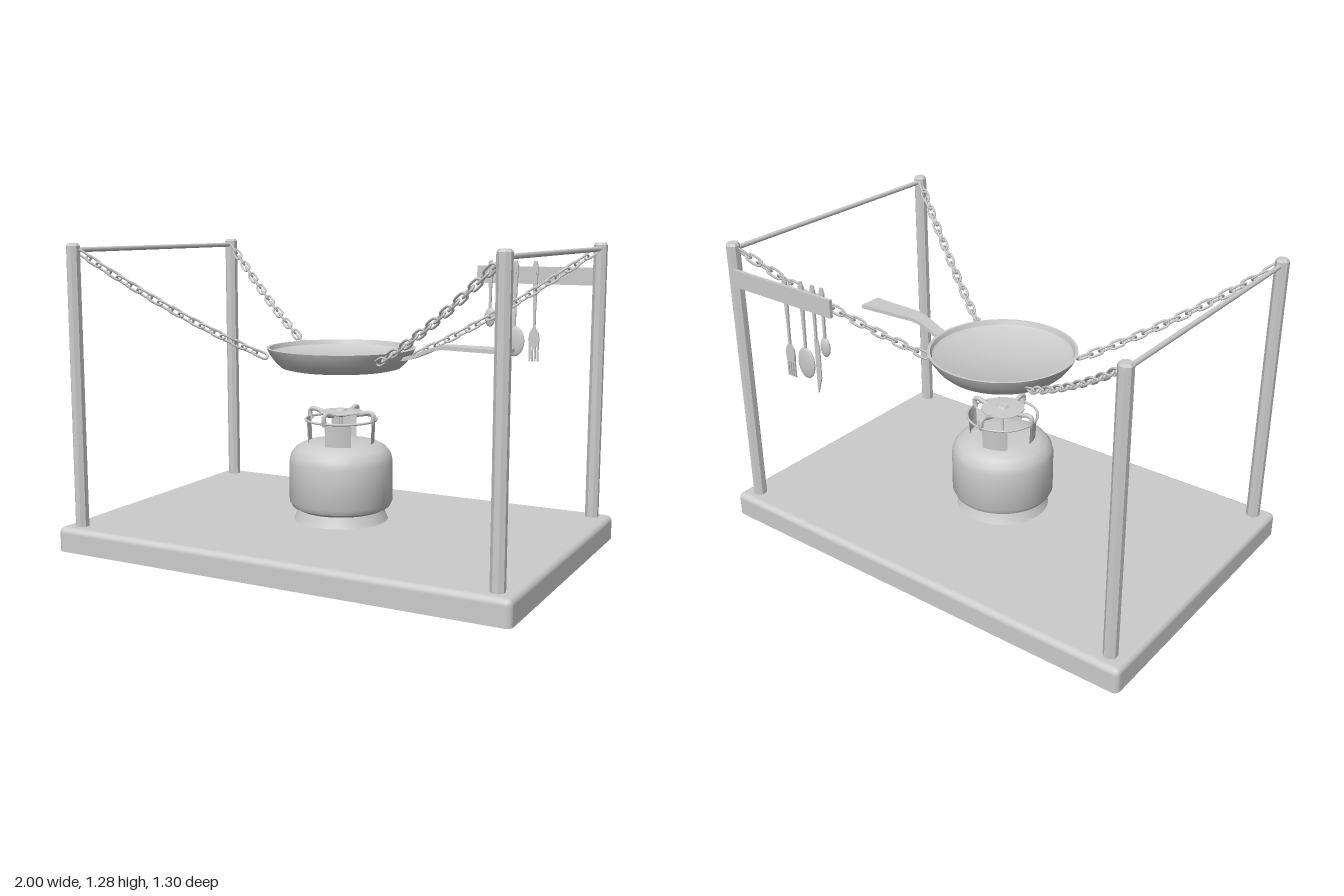
import * as THREE from 'three';
import { toCreasedNormals } from 'three/addons/utils/BufferGeometryUtils.js';
import { RoundedBoxGeometry } from 'three/addons/geometries/RoundedBoxGeometry.js';

const mat = new THREE.MeshStandardMaterial({ color: 0xcccccc, side: THREE.DoubleSide });
const V = (x, y, z) => new THREE.Vector3(x, y, z);

function add(parent, name, geometry, x = 0, y = 0, z = 0) {
  const mesh = new THREE.Mesh(geometry, mat);
  mesh.name = name;
  mesh.position.set(x, y, z);
  parent.add(mesh);
  return mesh;
}

function group(parent, name) {
  const g = new THREE.Group();
  g.name = name;
  parent.add(g);
  return g;
}

const lathe = (pts, segments = 48) => toCreasedNormals(
  new THREE.LatheGeometry(pts.map(([r, y]) => new THREE.Vector2(r, y)), segments), 0.6);

const tube = (pts, r, segments = 16) =>
  new THREE.TubeGeometry(new THREE.CatmullRomCurve3(pts), segments, r, 8);

// Rounded tray, hollow and open underneath
function trayGeometry(w, h, d, r) {
  const box = new RoundedBoxGeometry(w, h * 2, d, 4, r);
  const p = box.attributes.position, n = box.attributes.normal;
  const pos = [], nor = [];
  for (let i = 0; i < p.count; i += 3) {
    const k = [i, i + 1, i + 2];
    if (k.every(j => p.getY(j) < 0)) continue;
    for (const j of k) {
      pos.push(p.getX(j), Math.max(0, p.getY(j)), p.getZ(j));
      nor.push(n.getX(j), n.getY(j), n.getZ(j));
    }
  }
  const g = new THREE.BufferGeometry();
  g.setAttribute('position', new THREE.Float32BufferAttribute(pos, 3));
  g.setAttribute('normal', new THREE.Float32BufferAttribute(nor, 3));
  return g;
}

// Stadium-shaped chain link lying in its local xy plane
function linkGeometry(halfLength, halfWidth, wire) {
  const pts = [], s = halfLength - halfWidth;
  for (let i = 0; i < 12; i++) {
    const a = -Math.PI / 2 + (i % 6) * Math.PI / 5 + (i < 6 ? 0 : Math.PI);
    pts.push(V(Math.cos(a) * halfWidth + (i < 6 ? s : -s), Math.sin(a) * halfWidth, 0));
  }
  return new THREE.TubeGeometry(new THREE.CatmullRomCurve3(pts, true), 24, wire, 6, true);
}

function addChain(parent, sx, sz, link) {
  const g = group(parent, 'chain');
  const curve = new THREE.QuadraticBezierCurve3(
    V(sx * 0.91, 1.25, sz * 0.565), V(sx * 0.57, 0.975, sz * 0.365), V(sx * 0.26, 0.815, sz * 0.18));
  const count = 18;
  for (let i = 0; i < count; i++) {
    const u = (i + 0.5) / count, t = curve.getTangentAt(u);
    const side = V(0, 1, 0).cross(t).normalize(), up = t.clone().cross(side);
    const m = add(g, 'chainLink', link);
    m.quaternion.setFromRotationMatrix(new THREE.Matrix4().makeBasis(t, side, up));
    m.rotateX(i % 2 ? Math.PI / 4 : -Math.PI / 4);
    m.position.copy(curve.getPointAt(u));
  }
}

// Flat utensil part from [halfWidth, y] pairs, mirrored about its centre line
function flat(profile, depth = 0.008) {
  const right = profile.map(([w, y]) => new THREE.Vector2(w, y));
  const left = profile.map(([w, y]) => new THREE.Vector2(-w, y)).reverse();
  return new THREE.ExtrudeGeometry(new THREE.Shape([...right, ...left]), { depth, bevelEnabled: false })
    .translate(0, 0, -depth / 2);
}

function addUtensil(parent, name, x, neckY) {
  const g = group(parent, name);
  g.position.set(x, 0, -0.575);
  add(g, 'utensilHandle', flat([[0.005, neckY], [0.006, neckY + 0.1], [0.011, 1.14], [0.012, 1.18], [0.006, 1.2]]));
  const peg = add(g, 'peg', new THREE.CylinderGeometry(0.008, 0.008, 0.03, 10), 0, 1.15, -0.005);
  peg.rotation.x = Math.PI / 2;
  return g;
}

function addBowl(g, y, rx, ry) {
  add(g, 'spoonBowl', new THREE.SphereGeometry(1, 20, 12), 0, y, 0).scale.set(rx, ry, 0.012);
}

function addUtensilRack(root) {
  const g = group(root, 'utensilRack');
  add(g, 'rackBoard', new THREE.BoxGeometry(0.56, 0.075, 0.014), 0.65, 1.138, -0.598);
  addBowl(addUtensil(g, 'smallSpoon', 0.44, 0.97), 0.95, 0.025, 0.042);
  addBowl(addUtensil(g, 'largeSpoon', 0.555, 0.89), 0.85, 0.047, 0.068);
  const knife = addUtensil(g, 'knife', 0.49, 0.96);
  add(knife, 'knifeBlade', new THREE.ExtrudeGeometry(new THREE.Shape([
    [-0.008, 0.97], [-0.014, 0.93], [-0.012, 0.8], [0.01, 0.73], [0.013, 0.76], [0.012, 0.97],
  ].map(([x, y]) => new THREE.Vector2(x, y))), { depth: 0.005, bevelEnabled: false }));
  const fork = addUtensil(g, 'fork', 0.645, 0.89);
  add(fork, 'forkHead', flat([[0.02, 0.83], [0.025, 0.86], [0.02, 0.89], [0.006, 0.91]]));
  for (let i = 0; i < 4; i++)
    add(fork, 'forkTine', new THREE.BoxGeometry(0.007, 0.07, 0.006), (i - 1.5) * 0.0125, 0.8, 0);
}

function addPan(root) {
  const g = group(root, 'fryingPan');
  add(g, 'panBody', lathe([
    [0, 0.762], [0.225, 0.762], [0.25, 0.768], [0.275, 0.79], [0.3, 0.825], [0.312, 0.85],
    [0.3, 0.85], [0.293, 0.832], [0.28, 0.824], [0, 0.82],
  ], 64));
  // Handle: a bar bent upward and widened toward its tip
  const h = new THREE.BoxGeometry(0.46, 0.016, 1, 24, 1, 1);
  const p = h.attributes.position;
  for (let i = 0; i < p.count; i++) {
    const u = p.getX(i) / 0.46 + 0.5;
    const rise = 0.818 + 0.056 * THREE.MathUtils.smoothstep(u, 0, 0.42);
    const halfWidth = 0.03 - 0.006 * Math.sin(Math.PI * Math.min(1, u * 2)) + 0.022 * u;
    p.setXYZ(i, 0.282 + 0.46 * u, p.getY(i) + rise - 0.006 * Math.max(0, u - 0.5), p.getZ(i) * 2 * halfWidth);
  }
  add(g, 'panHandle', toCreasedNormals(h, 0.6));
}

function addStove(root) {
  const g = group(root, 'gasStove');
  add(g, 'footRing', lathe([[0.2, 0.118], [0.195, 0.128], [0.18, 0.168]]));
  add(g, 'gasTank', lathe([
    [0, 0.15], [0.13, 0.152], [0.178, 0.162], [0.208, 0.178], [0.219, 0.2], [0.219, 0.37],
    [0.212, 0.4], [0.192, 0.426], [0.16, 0.444], [0.12, 0.452], [0, 0.456],
  ]));
  const ring = add(g, 'guardRing', new THREE.TorusGeometry(0.15, 0.005, 8, 48), 0, 0.545, 0);
  ring.rotation.x = Math.PI / 2;
  add(g, 'burnerStem', new THREE.CylinderGeometry(0.006, 0.006, 0.12, 10), 0, 0.51, 0);
  add(g, 'burnerHead', lathe([
    [0, 0.553], [0.02, 0.558], [0.092, 0.574], [0.092, 0.578], [0.025, 0.582], [0.02, 0.59], [0, 0.59],
  ]));
  const arm = tube([
    V(0.145, 0.535, 0), V(0.151, 0.56, 0), V(0.148, 0.576, 0), V(0.13, 0.581, 0), V(0.1, 0.574, 0), V(0.075, 0.57, 0),
  ], 0.01);
  const panel = new THREE.CylinderGeometry(0.145, 0.14, 0.105, 12, 1, true, 0, Math.PI / 4);
  for (let i = 0; i < 4; i++) {
    add(g, 'potSupport', arm).rotation.y = i * Math.PI / 2;
    add(g, 'collarPanel', panel, 0, 0.496, 0).rotation.y = i * Math.PI / 2;
  }
}

export function createModel() {
  const root = new THREE.Group();
  root.name = 'hangingPanStove';
  add(root, 'base', trayGeometry(2, 0.103, 1.3, 0.025));

  // Octagonal posts, side rails and chains
  const post = toCreasedNormals(new THREE.LatheGeometry(
    [[0.029, 0.06], [0.029, 1.272], [0.022, 1.282], [0, 1.282]].map(([r, y]) => new THREE.Vector2(r, y)),
    8, Math.PI / 8), 0.3);
  const link = linkGeometry(0.034, 0.014, 0.005);
  for (const sx of [-1, 1]) {
    for (const sz of [-1, 1]) {
      add(root, 'post', post, sx * 0.925, 0, sz * 0.58);
      addChain(root, sx, sz, link);
    }
    const rail = add(root, 'sideRail', new THREE.CylinderGeometry(0.01, 0.01, 1.12, 12), sx * 0.925, 1.255, 0);
    rail.rotation.x = Math.PI / 2;
  }

  addPan(root);
  addStove(root);
  addUtensilRack(root);
  return root;
}
